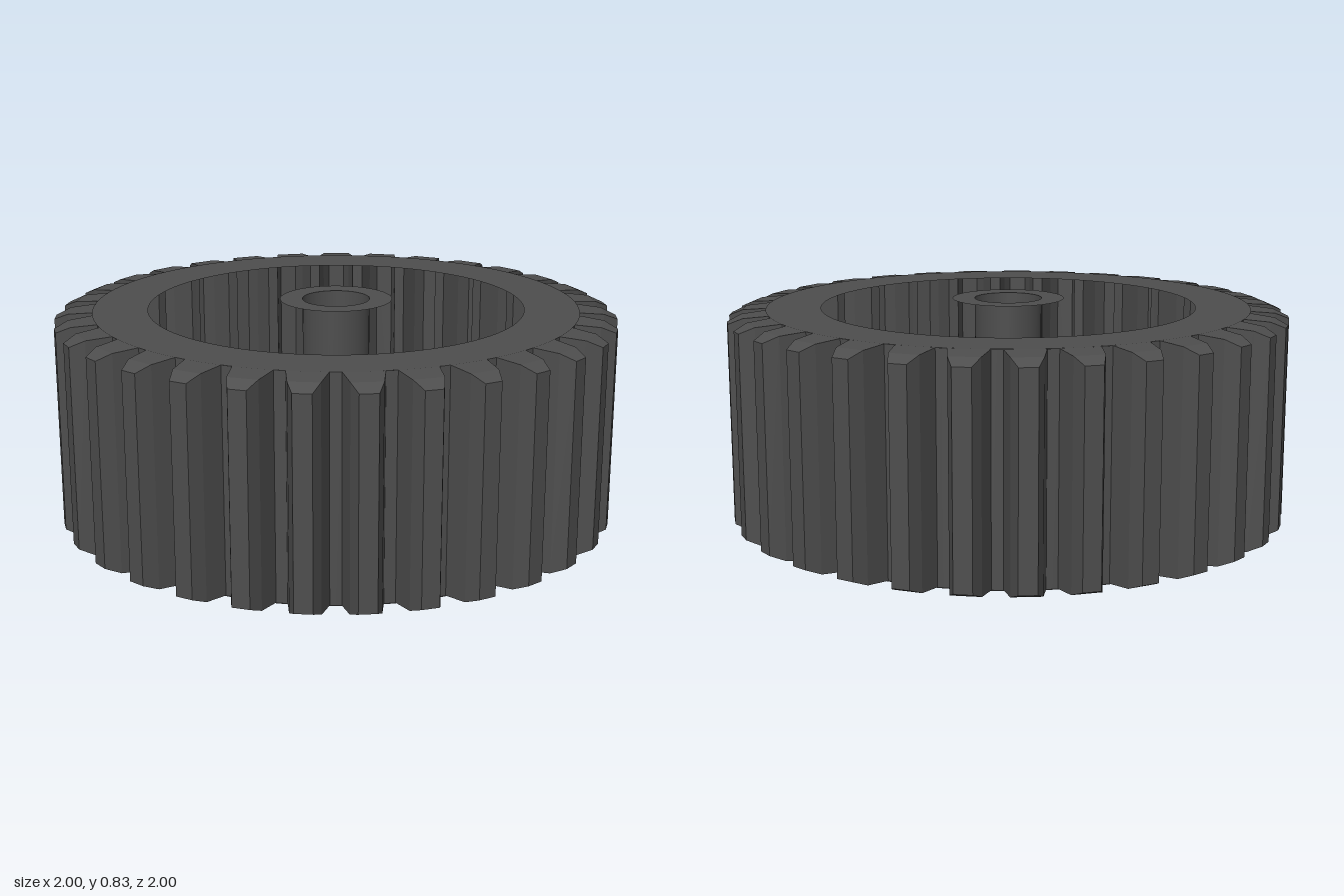
import * as THREE from 'three';

const TEETH = 31;
const MID = 0.416; // mid-height of the wheel
// half tooth outline: half-width, radius, half-height (ends are bevelled towards the tip)
const OUTLINE = [
  { w: 0.068, r: 0.862, h: 0.39 },
  { w: 0.052, r: 0.95, h: 0.382 },
  { w: 0.031, r: 1.0, h: 0.36 },
];

// Toothed shell: hollow teeth joined by the root wall
function toothedShell() {
  const pos = [];
  const quad = (a, b, c, d) => [a, b, c, a, c, d].forEach((p) => pos.push(...p));
  const step = (Math.PI * 2) / TEETH;

  for (let i = 0; i < TEETH; i++) {
    const point = (angle, r, y) => {
      const a = i * step + angle;
      return [Math.sin(a) * r, MID + y, -Math.cos(a) * r];
    };
    const at = (o, side, end) => point(side * Math.asin(o.w / o.r), o.r, end * o.h);
    const wall = (b0, t0, b1, t1) => quad(b1, b0, t0, t1);

    // flanks and bevelled ends
    for (let k = 0; k < 2; k++) {
      const p = OUTLINE[k], q = OUTLINE[k + 1];
      wall(at(p, -1, -1), at(p, -1, 1), at(q, -1, -1), at(q, -1, 1));
      wall(at(q, 1, -1), at(q, 1, 1), at(p, 1, -1), at(p, 1, 1));
      quad(at(p, -1, 1), at(p, 1, 1), at(q, 1, 1), at(q, -1, 1));
      quad(at(q, -1, -1), at(q, 1, -1), at(p, 1, -1), at(p, -1, -1));
    }
    // tip
    const tip = OUTLINE[2];
    wall(at(tip, -1, -1), at(tip, -1, 1), at(tip, 1, -1), at(tip, 1, 1));
    // root up to the next tooth
    const root = OUTLINE[0];
    const start = Math.asin(root.w / root.r);
    const span = step - 2 * start;
    for (let s = 0; s < 2; s++) {
      const a0 = start + (span * s) / 2, a1 = start + (span * (s + 1)) / 2;
      wall(point(a0, root.r, -root.h), point(a0, root.r, root.h),
        point(a1, root.r, -root.h), point(a1, root.r, root.h));
    }
  }
  const geo = new THREE.BufferGeometry();
  geo.setAttribute('position', new THREE.Float32BufferAttribute(pos, 3));
  geo.computeVertexNormals();
  return geo;
}

export function createModel() {
  const group = new THREE.Group();
  group.name = 'gearWheel';
  const material = new THREE.MeshStandardMaterial({ color: 0x4d4d4d, side: THREE.DoubleSide });

  const add = (name, geometry, y = 0) => {
    const mesh = new THREE.Mesh(geometry, material);
    mesh.name = name;
    mesh.position.y = y;
    group.add(mesh);
    return mesh;
  };

  add('toothedRim', toothedShell());

  // Flat end rings of the rim and hub, mirrored top and bottom
  for (const side of [1, -1]) {
    const end = side > 0 ? 'top' : 'bottom';
    const ring = (name, inner, outer, h) => {
      add(end + name, new THREE.RingGeometry(inner, outer, 96), MID + side * h)
        .rotation.x = (-side * Math.PI) / 2;
    };
    ring('RimRing', 0.67, 0.865, 0.391);
    ring('HubRing', 0.12, 0.2, MID);
  }

  // Axle bore
  add('boreTube', new THREE.CylinderGeometry(0.12, 0.12, MID * 2, 48, 1, true), MID);

  return group;
}
